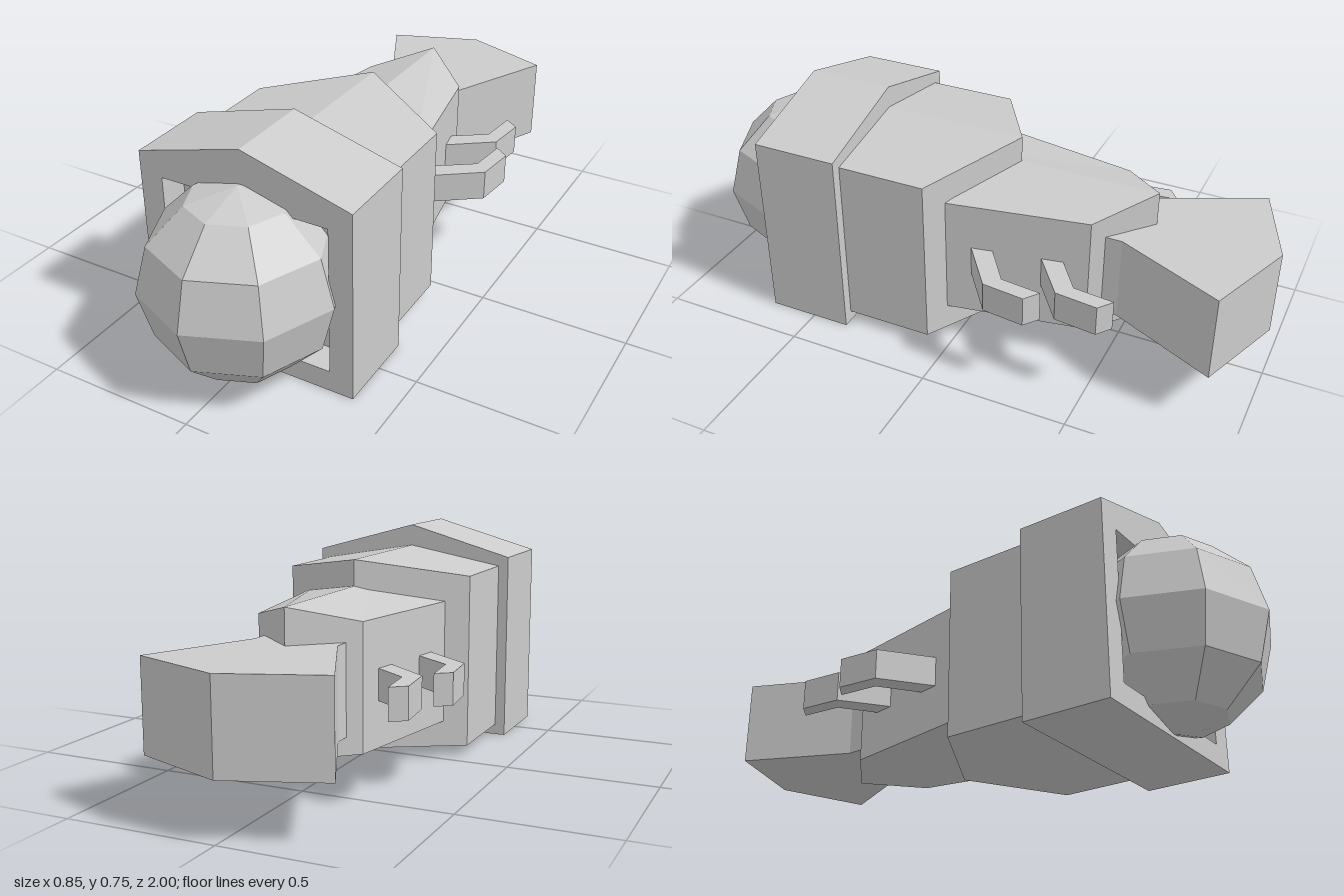
import * as THREE from 'three';

const material = new THREE.MeshStandardMaterial({ color: 0xcccccc, flatShading: true, side: THREE.DoubleSide });

// Gabled cross-section: half width w, side z, centre-line z (tip), base, eave and ridge heights
function section(w, z, tip, base, eave, ridge) {
  return [
    [-w, base, z], [0, base, tip], [w, base, z],
    [w, eave, z], [0, ridge, tip], [-w, eave, z],
  ];
}

// Flat-faced solid through cross-sections ordered from front to back
function loft(sections) {
  const positions = [];
  const quad = (a, b, c, d) => positions.push(...a, ...b, ...c, ...a, ...c, ...d);
  for (let s = 0; s < sections.length - 1; s++) {
    const a = sections[s], b = sections[s + 1];
    for (let i = 0; i < 6; i++) {
      const j = (i + 1) % 6;
      quad(a[i], b[i], b[j], a[j]);
    }
  }
  const f = sections[0], k = sections[sections.length - 1];
  quad(f[0], f[1], f[4], f[5]);
  quad(f[1], f[2], f[3], f[4]);
  quad(k[5], k[4], k[1], k[0]);
  quad(k[4], k[3], k[2], k[1]);
  const geometry = new THREE.BufferGeometry();
  geometry.setAttribute('position', new THREE.Float32BufferAttribute(positions, 3));
  geometry.computeVertexNormals();
  return geometry;
}

const toShape = (points) => new THREE.Shape(points.map(([x, y]) => new THREE.Vector2(x, y)));

export function createModel() {
  const model = new THREE.Group();
  const add = (name, geometry, parent = model) => {
    const mesh = new THREE.Mesh(geometry, material);
    mesh.name = name;
    parent.add(mesh);
    return mesh;
  };

  // Faceted nose sphere
  add('nose', new THREE.SphereGeometry(0.319, 8, 6)).position.set(0, 0.326, 0.681);

  // Front collar with a square recess around the nose
  const collar = new THREE.Group();
  collar.name = 'collar';
  model.add(collar);
  const rimDepth = 0.1, front = 0.665;
  const rim = toShape([[-0.37, 0], [0.37, 0], [0.37, 0.652], [0, 0.755], [-0.37, 0.652]]);
  rim.holes.push(new THREE.Path(
    [[-0.29, 0.073], [-0.29, 0.58], [0.29, 0.58], [0.29, 0.073]].map(([x, y]) => new THREE.Vector2(x, y))));
  add('collarRim', new THREE.ExtrudeGeometry(rim, { depth: rimDepth, bevelEnabled: false }), collar)
    .position.z = front - rimDepth;
  add('collarBack', loft([
    section(0.37, front - rimDepth, front - rimDepth, 0, 0.652, 0.755),
    section(0.37, 0.37, 0.37, 0, 0.652, 0.755),
  ]), collar);

  // Body segments with pointed rear edges
  add('frontBody', loft([
    section(0.335, 0.38, 0.38, 0.037, 0.62, 0.68),
    section(0.335, 0.068, -0.125, 0.037, 0.62, 0.68),
  ]));
  add('rearBody', loft([
    section(0.28, 0.12, 0, 0.125, 0.537, 0.592),
    section(0.18, -0.44, -0.598, 0.125, 0.537, 0.592),
  ]));

  // Flared tail fin with a narrow neck
  add('tail', loft([
    section(0.14, -0.42, -0.42, 0.183, 0.476, 0.476),
    section(0.14, -0.53, -0.53, 0.183, 0.476, 0.476),
    section(0.307, -0.885, -1, 0.183, 0.476, 0.476),
  ]));

  // Two pairs of hooked legs; outline is (x, -z) of the front left leg
  const outline = [
    [0.18, 0.01], [0.249, 0.058], [0.408, 0.175], [0.424, 0.318],
    [0.375, 0.355], [0.36, 0.217], [0.233, 0.127], [0.17, 0.083],
  ];
  for (const [pair, dx, dz] of [['front', 0, 0], ['rear', -0.054, 0.22]]) {
    for (const side of [1, -1]) {
      const shape = toShape(outline.map(([x, y]) => [side * (x + dx), y + dz]));
      const geometry = new THREE.ExtrudeGeometry(shape, { depth: 0.103, bevelEnabled: false });
      geometry.rotateX(-Math.PI / 2);
      add(pair + (side > 0 ? 'LeftLeg' : 'RightLeg'), geometry).position.y = 0.276;
    }
  }
  return model;
}
